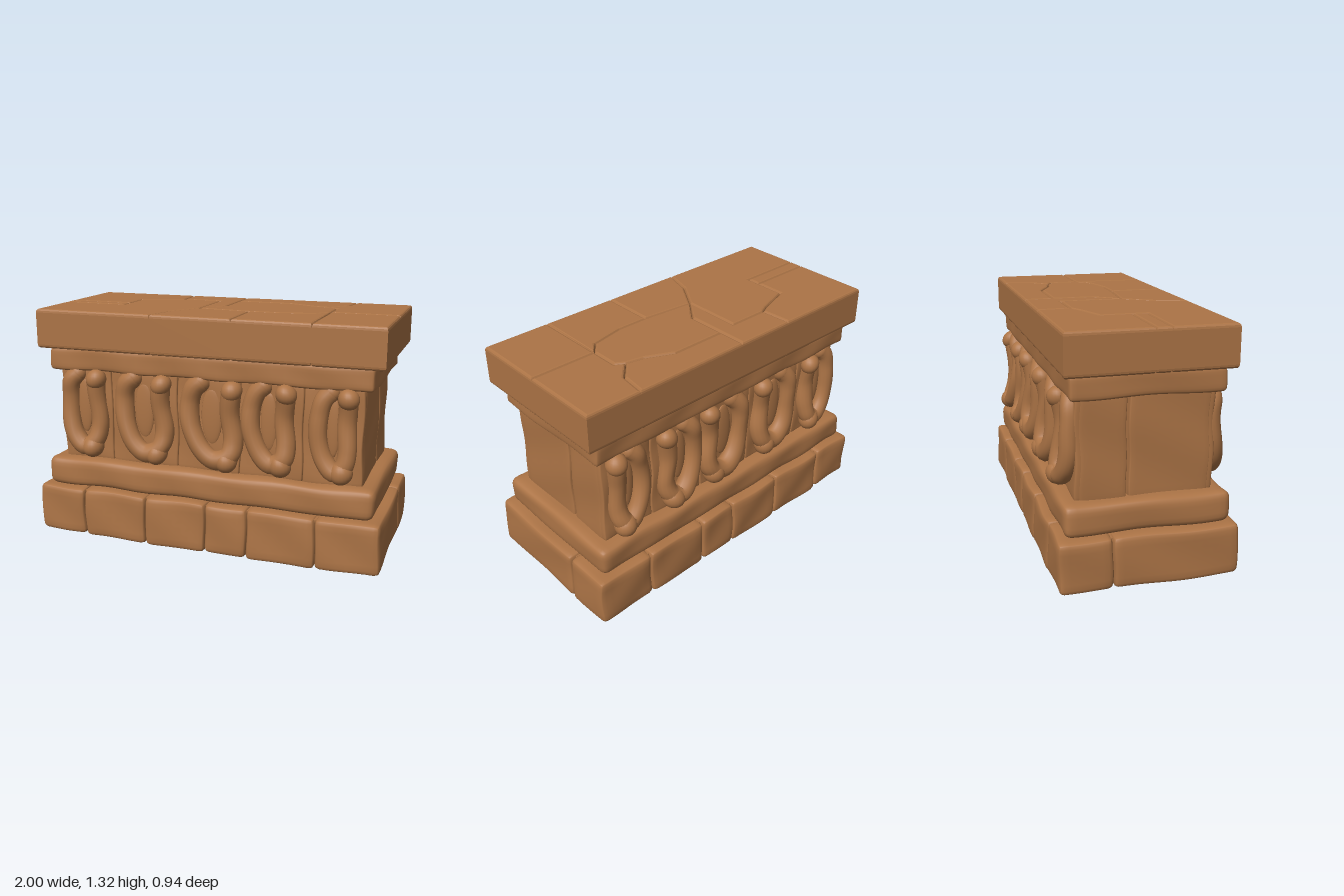
import * as THREE from 'three';
import { mergeVertices } from 'three/addons/utils/BufferGeometryUtils.js';

const stoneMat = new THREE.MeshStandardMaterial({ color: 0xac7446 });
stoneMat.name = 'sandstone';

// Gentle hand-carved unevenness, continuous in space so neighbours still meet
function weather(geo, amp) {
  const p = geo.attributes.position;
  for (let i = 0; i < p.count; i++) {
    const x = p.getX(i), y = p.getY(i), z = p.getZ(i);
    p.setXYZ(i,
      x + amp * Math.sin(17 * y + 9 * z + 3 * x),
      y + amp * Math.sin(13 * x - 11 * z + 1),
      z + amp * Math.sin(15 * x + 19 * y + 2));
  }
  geo.deleteAttribute('normal');
  geo.deleteAttribute('uv');
  const out = mergeVertices(geo, 1e-5);
  out.computeVertexNormals();
  return out;
}

// Rounded block between two corners, with vertices packed towards the edges
function block(min, max, r, amp = 0.004) {
  const size = max.map((v, i) => v - min[i]);
  const seg = size.map(s => Math.max(10, Math.min(36, Math.round(s * 26))));
  const geo = new THREE.BoxGeometry(2, 2, 2, ...seg);
  const p = geo.attributes.position;
  const v = new THREE.Vector3(), inner = new THREE.Vector3(), d = new THREE.Vector3();
  const half = new THREE.Vector3(...size).multiplyScalar(0.5);
  const lim = half.clone().subScalar(r);
  const low = lim.clone().negate();
  for (let i = 0; i < p.count; i++) {
    v.fromBufferAttribute(p, i);
    for (const a of ['x', 'y', 'z']) v[a] = Math.sin(v[a] * Math.PI / 2) * half[a];
    inner.copy(v).clamp(low, lim);
    d.copy(v).sub(inner).setLength(r);
    v.copy(inner).add(d);
    p.setXYZ(i, v.x, v.y, v.z);
  }
  geo.translate(...min.map((m, i) => (m + max[i]) / 2));
  return weather(geo, amp);
}

// Paving stone outlined in x and z, with bevelled rims that form the cracks
function slab(outline) {
  const bevel = 0.014, rim = 0.02, height = 0.22;
  const geo = new THREE.ExtrudeGeometry(
    new THREE.Shape(outline.map(([x, z]) => new THREE.Vector2(x, z))),
    { depth: height - 2 * rim, bevelEnabled: true, bevelSize: bevel, bevelOffset: -bevel,
      bevelThickness: rim, bevelSegments: 3 });
  geo.rotateX(Math.PI / 2);
  geo.translate(0, 1.318 - rim, 0);
  return geo;
}

export function createModel() {
  const model = new THREE.Group();
  model.name = 'stoneAltar';
  const add = (name, geo, parent = model) => {
    const m = new THREE.Mesh(geo, stoneMat);
    m.name = name;
    parent.add(m);
    return m;
  };
  const group = name => {
    const g = new THREE.Group();
    g.name = name;
    model.add(g);
    return g;
  };

  // Base: two rows of worn blocks
  const base = group('base');
  const joints = [-0.996, -0.71, -0.33, 0.03, 0.27, 0.65, 0.996];
  const bottoms = [0.02, 0.01, 0.006, 0.012, 0.006, 0.012];
  for (let i = 0; i < 6; i++) {
    add('baseBlock', block([joints[i], bottoms[i], -0.19], [joints[i + 1], 0.295, 0.468], 0.03), base);
    add('baseBlock', block([joints[i], bottoms[i], -0.468], [joints[i + 1], 0.295, -0.19], 0.03), base);
  }
  add('baseFill', new THREE.BoxGeometry(1.9, 0.24, 0.86).translate(0, 0.16, 0), base);

  // Plinth moulding and the lower cornice
  add('plinth', block([-0.955, 0.295, -0.432], [0.95, 0.462, 0.432], 0.045));
  add('lowerCornice', block([-0.925, 0.975, -0.395], [0.922, 1.105, 0.395], 0.022));

  // Core of the middle section, split on the ends
  const core = group('core');
  add('coreBlock', block([-0.875, 0.44, -0.083], [0.872, 1.0, 0.335], 0.014), core);
  add('coreBlock', block([-0.875, 0.44, -0.335], [0.872, 1.0, -0.095], 0.014), core);
  add('coreFill', new THREE.BoxGeometry(1.71, 0.5, 0.6).translate(0, 0.72, 0), core);

  // Carved panels with hooked U ornaments, front and back
  const edges = [-0.872, -0.56, -0.16, 0.2, 0.55, 0.87];
  const legs = [[-0.815, -0.645], [-0.47, -0.25], [-0.075, 0.155], [0.275, 0.455], [0.64, 0.785]];
  for (const s of [1, -1]) {
    const frieze = group(s > 0 ? 'frontFrieze' : 'backFrieze');
    const ball = (name, x, y, z, r, sy = 1) =>
      add(name, weather(new THREE.SphereGeometry(r, 20, 14).scale(1, sy, 1).translate(x, y, s * z), 0.004), frieze);
    legs.forEach(([a, b], i) => {
      const z0 = Math.min(s * 0.28, s * 0.358), z1 = Math.max(s * 0.28, s * 0.358);
      add('panel', block([edges[i], 0.45, z0], [edges[i + 1], 0.99, z1], 0.015), frieze);
      const w = b - a, r = 0.042 + 0.06 * w;
      const path = new THREE.CatmullRomCurve3([
        [b, 0.93, 0.375], [b - 0.005, 0.8, 0.358], [b + 0.01, 0.65, 0.37],
        [b - 0.01, 0.57, 0.39], [a + w * 0.6, 0.54, 0.395], [a + w * 0.25, 0.59, 0.385],
        [a, 0.7, 0.37], [a - 0.005, 0.84, 0.36], [a + 0.015, 0.92, 0.362], [a + 0.05, 0.955, 0.35],
      ].map(([x, y, z]) => new THREE.Vector3(x, y, s * z)));
      add('hookedLoop', weather(new THREE.TubeGeometry(path, 56, r, 14), 0.005), frieze);
      ball('hookKnob', b + 0.005, 0.93, 0.383, 0.057);
      ball('hookFoot', b - 0.02, 0.54, 0.398, 0.062);
      ball('hookTip', a + 0.05, 0.955, 0.35, r * 0.98);
      // Shallow swelling inside the loop
      add('panelBoss', new THREE.SphereGeometry(1, 18, 12)
        .scale(w * 0.26, 0.16, 0.016).translate((a + b) / 2, 0.77, s * 0.356), frieze);
    });
  }

  // Top: irregular paving stones fitted together
  const top = group('topSlab');
  const X = 0.978, Z = 0.43;
  const stones = [
    [[-X, 0.09], [-0.6, 0.09], [-0.6, -0.16], [-0.42, -0.22], [-0.36, -0.25], [-0.13, -0.25],
      [-0.13, 0.09], [-0.24, 0.26], [-0.29, Z], [-X, Z]],
    [[-X, 0.01], [-0.6, 0.01], [-0.6, 0.09], [-X, 0.09]],
    [[-X, -Z], [-0.37, -Z], [-0.36, -0.25], [-0.42, -0.22], [-0.6, -0.16], [-0.6, 0.01], [-X, 0.01]],
    [[-0.37, -Z], [-0.02, -Z], [-0.02, -0.05], [-0.13, 0.09], [-0.13, -0.25], [-0.36, -0.25]],
    [[-0.02, -0.27], [0.3, -0.27], [0.45, -0.2], [0.55, -0.18], [0.6, -0.15], [0.6, 0.01],
      [0.54, 0.08], [0.35, 0.12], [0.17, 0.12], [-0.13, 0.09], [-0.02, -0.05]],
    [[-0.02, -Z], [0.66, -Z], [0.64, -0.28], [0.55, -0.18], [0.45, -0.2], [0.3, -0.27], [-0.02, -0.27]],
    [[0.66, -Z], [X, -Z], [X, 0.01], [0.6, 0.01], [0.6, -0.15], [0.55, -0.18], [0.64, -0.28]],
    [[0.6, 0.01], [X, 0.01], [X, Z], [0.6, Z]],
    [[0.17, 0.12], [0.35, 0.12], [0.54, 0.08], [0.6, 0.01], [0.6, Z], [0.17, Z]],
    [[-0.29, Z], [-0.24, 0.26], [-0.13, 0.09], [0.17, 0.12], [0.17, Z]],
  ];
  stones.forEach(o => add('pavingStone', slab(o), top));
  return model;
}
